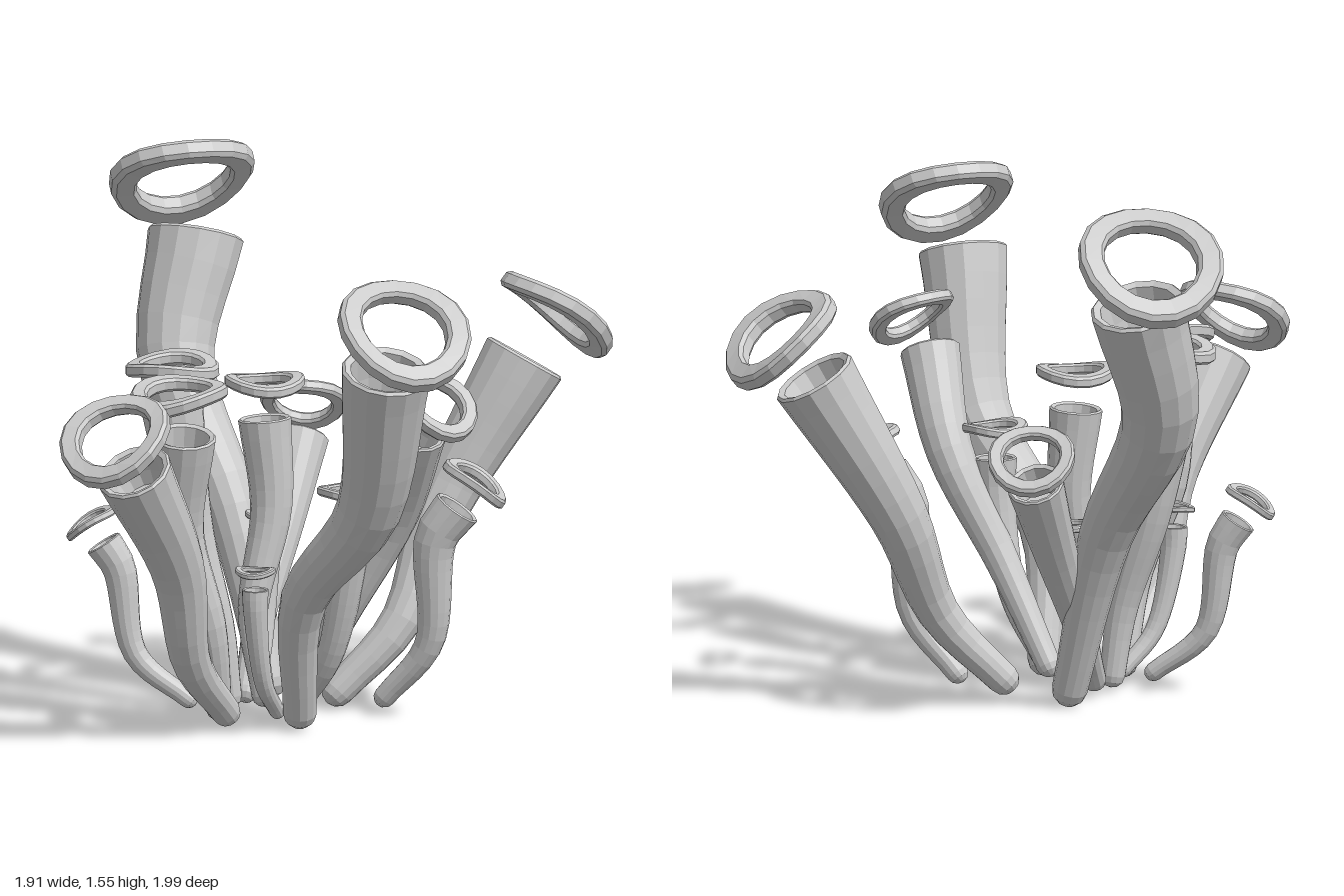
import * as THREE from 'three';

const material = new THREE.MeshStandardMaterial({ color: 0xcccccc, flatShading: true, side: THREE.DoubleSide });
const SIDES = 14;
const STEPS = 16;
const FOOT_HEIGHT = 0.065;

// Hollow horn: rounded foot, flaring body, lip and a closed bowl inside the mouth.
function hornGeometry(points, footRadius, mouthRadius) {
  const curve = new THREE.CatmullRomCurve3(points);
  const frames = curve.computeFrenetFrames(STEPS, false);
  const loops = []; // [step, radius, shift along the path]
  for (const a of [1.53, 1.05, 0.52]) {
    loops.push([0, footRadius * Math.cos(a), -footRadius * Math.sin(a)]);
  }
  for (let i = 0; i <= STEPS; i++) {
    loops.push([i, THREE.MathUtils.lerp(footRadius, mouthRadius, Math.pow(i / STEPS, 1.25)), 0]);
  }
  for (const [r, s] of [[0.94, 0.06], [0.8, 0], [0.72, -0.6], [0.62, -1], [0.01, -1.1]]) {
    loops.push([STEPS, mouthRadius * r, mouthRadius * s]);
  }

  const positions = [];
  const index = [];
  loops.forEach(([step, radius, shift], i) => {
    const centre = curve.getPointAt(step / STEPS).addScaledVector(frames.tangents[step], shift);
    for (let j = 0; j < SIDES; j++) {
      const a = (j / SIDES) * Math.PI * 2;
      const p = centre.clone()
        .addScaledVector(frames.normals[step], radius * Math.cos(a))
        .addScaledVector(frames.binormals[step], radius * Math.sin(a));
      positions.push(p.x, p.y, p.z);
      if (i === 0) continue;
      const k = (j + 1) % SIDES;
      const lo = (i - 1) * SIDES;
      const hi = i * SIDES;
      index.push(lo + j, lo + k, hi + k, lo + j, hi + k, hi + j);
    }
  });
  const geometry = new THREE.BufferGeometry();
  geometry.setAttribute('position', new THREE.Float32BufferAttribute(positions, 3));
  geometry.setIndex(index);
  geometry.computeVertexNormals();
  return geometry;
}

// Flat ring bent into a slight saddle; local y is its axis, local x points away from the middle.
function ringGeometry(radius) {
  const profile = [
    [0.71, -0.14], [0.95, -0.14], [1.01, -0.08], [1.01, 0.08], [0.95, 0.14],
    [0.71, 0.14], [0.66, 0.08], [0.66, -0.08], [0.71, -0.14],
  ].map(([x, y]) => new THREE.Vector2(x * radius, y * radius));
  const geometry = new THREE.LatheGeometry(profile, 18);
  const pos = geometry.attributes.position;
  for (let i = 0; i < pos.count; i++) {
    const x = pos.getX(i);
    const z = pos.getZ(i);
    pos.setY(i, pos.getY(i) - (0.09 * (x * x - z * z)) / radius);
  }
  geometry.computeVertexNormals();
  return geometry;
}

// Large horns: ring radius, foot x and z, mouth, low bend, high bend
const largeHorns = [
  [0.21, -0.2, -0.2, [-0.67, 1.275, -0.425], [-0.38, 0.55, -0.24], [-0.63, 0.93, -0.29]],
  [0.185, 0.05, -0.21, [0.3, 0.99, -0.745], [0.16, 0.26, -0.36], [0.165, 0.57, -0.53]],
  [0.195, 0.17, 0.1, [0.68, 1.165, 0.315], [0.28, 0.43, 0.21], [0.53, 0.72, 0.22]],
  [0.165, 0, 0.23, [0.11, 0.865, 0.765], [0.04, 0.25, 0.43], [0.09, 0.55, 0.55]],
  [0.14, -0.05, 0.2, [-0.03, 0.89, 0.38], [-0.03, 0.32, 0.27], [-0.08, 0.6, 0.34]],
  [0.135, -0.14, 0.05, [-0.29, 0.9, 0.125], [-0.16, 0.26, 0.07], [-0.24, 0.55, 0.1]],
  [0.115, -0.07, -0.02, [-0.12, 0.86, -0.085], [-0.11, 0.3, -0.02], [-0.1, 0.6, -0.09]],
  [0.13, 0.1, 0.04, [0.56, 0.93, 0.04], [0.26, 0.35, 0.02], [0.42, 0.66, -0.03]],
  [0.125, -0.15, -0.04, [-0.325, 0.72, -0.485], [-0.22, 0.25, -0.18], [-0.27, 0.5, -0.34]],
];

// Small horns: ring radius, foot x and z, mouth
const smallHorns = [
  [0.095, 0.12, 0.05, [0.325, 0.64, 0.06]],
  [0.105, 0.21, -0.23, [0.42, 0.635, -0.305]],
  [0.063, -0.13, -0.06, [-0.21, 0.49, -0.2]],
  [0.08, -0.2, 0.16, [-0.41, 0.515, 0.29]],
  [0.06, -0.11, 0.13, [-0.17, 0.47, 0.28]],
  [0.058, 0.11, 0.13, [0.155, 0.45, 0.28]],
];

// One horn with its floating ring; horns further out lean further over.
function makeHorn([size, footX, footZ, mouthPoint, ...bends]) {
  const foot = new THREE.Vector3(footX, FOOT_HEIGHT, footZ);
  const mouth = new THREE.Vector3(...mouthPoint);
  const axis = new THREE.Vector3(mouth.x, 0, mouth.z);
  const lean = 0.85 * THREE.MathUtils.smoothstep(axis.length(), 0.3, 0.6);
  axis.setLength(lean).setY(1).normalize();

  // Small horns share one bend rule: outward at the foot, then up
  const middle = bends.length
    ? bends.map((p) => new THREE.Vector3(...p))
    : [foot.clone().lerp(mouth, 0.62).setY(mouth.y * 0.37), mouth.clone().addScaledVector(axis, -size)];
  const path = [foot, ...middle, mouth];

  const body = new THREE.Mesh(hornGeometry(path, 0.012 + 0.19 * size, 0.67 * size), material);
  body.name = 'hornBody';

  const ring = new THREE.Mesh(ringGeometry(size), material);
  ring.name = 'floatingRing';
  ring.position.copy(mouth).addScaledVector(axis, 0.92 * size);
  const across = new THREE.Vector3(mouth.x, 0, mouth.z).cross(axis).normalize();
  const outward = axis.clone().cross(across);
  ring.quaternion.setFromRotationMatrix(new THREE.Matrix4().makeBasis(outward, axis, across));

  const group = new THREE.Group();
  group.add(body, ring);
  return group;
}

export function createModel() {
  const model = new THREE.Group();
  model.name = 'hornCluster';
  [...largeHorns, ...smallHorns].forEach((spec, i) => {
    const horn = makeHorn(spec);
    horn.name = `horn${i + 1}`;
    model.add(horn);
  });
  return model;
}
